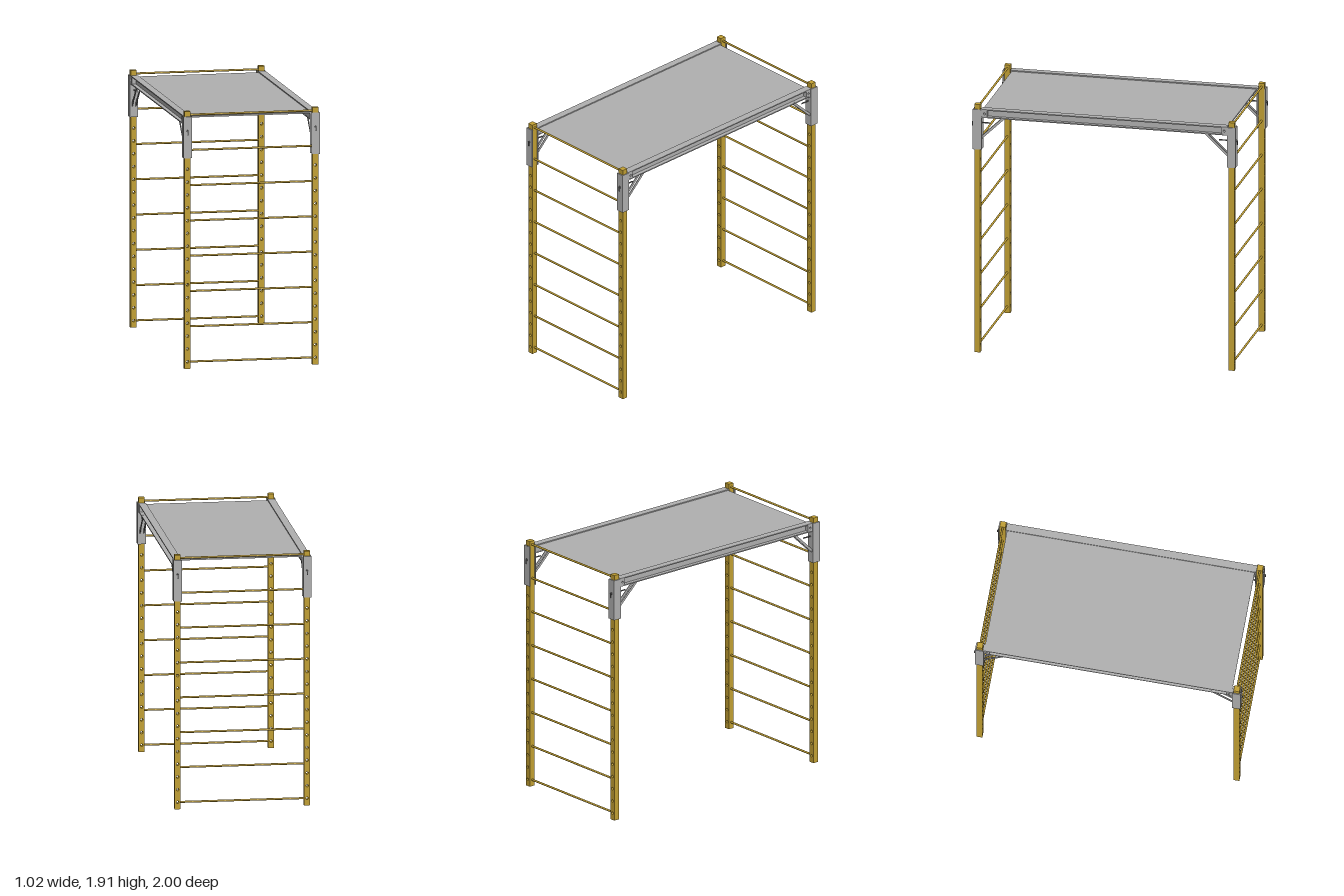
import * as THREE from 'three';

const yellow = new THREE.MeshStandardMaterial({ color: 0xc2a033 });
yellow.name = 'yellow paint';
const grey = new THREE.MeshStandardMaterial({ color: 0xb0b0b0 });
grey.name = 'grey steel';
const dark = new THREE.MeshStandardMaterial({ color: 0x6a6a6a });
dark.name = 'dark steel';

const POST_X = 0.479, POST_Z = 0.957, POST_W = 0.044, POST_H = 1.91;

function add(parent, name, geometry, material, x = 0, y = 0, z = 0) {
  const mesh = new THREE.Mesh(geometry, material);
  mesh.name = name;
  mesh.position.set(x, y, z);
  parent.add(mesh);
  return mesh;
}

// Box given by its limits on each axis
function box(parent, name, material, x0, x1, y0, y1, z0, z1) {
  return add(parent, name, new THREE.BoxGeometry(x1 - x0, y1 - y0, z1 - z0), material,
    (x0 + x1) / 2, (y0 + y1) / 2, (z0 + z1) / 2);
}

// Rectangle plate with round holes, extruded along z and centred in depth
function plate(w, y0, y1, depth, holes, radius) {
  const s = new THREE.Shape([
    new THREE.Vector2(-w / 2, y0), new THREE.Vector2(w / 2, y0),
    new THREE.Vector2(w / 2, y1), new THREE.Vector2(-w / 2, y1)]);
  for (const y of holes) {
    const h = new THREE.Path();
    h.absarc(0, y, radius, 0, Math.PI * 2, true);
    s.holes.push(h);
  }
  const g = new THREE.ExtrudeGeometry(s, { depth, bevelEnabled: false, curveSegments: 8 });
  return g.translate(0, 0, -depth / 2);
}

// One corner, built for +x and +z side with sx, sz giving the mirrored places
function corner(sx, sz) {
  const g = new THREE.Group();
  g.name = 'cornerPost';
  const span = (a, b, s) => (s > 0 ? [a, b] : [-b, -a]);
  const part = (name, mat, x0, x1, y0, y1, z0, z1) =>
    box(g, name, mat, ...span(x0, x1, sx), y0, y1, ...span(z0, z1, sz));

  // Drilled post
  const holes = [];
  for (let i = 0; i < 20; i++) holes.push(0.052 + i * 0.0953);
  add(g, 'post', plate(POST_W, 0, POST_H, POST_W, holes, 0.01), yellow, sx * POST_X, 0, sz * POST_Z);

  // Bracket channel around the post, open towards the rungs
  part('bracketSide', grey, 0.503, 0.51, 1.565, 1.873, 0.924, 0.989);
  part('bracketFront', grey, 0.449, 0.503, 1.565, 1.873, 0.981, 0.989);
  part('bracketBack', grey, 0.449, 0.503, 1.565, 1.873, 0.924, 0.932);

  // Locking pin with a hanging handle
  const pin = add(g, 'lockingPin', new THREE.CylinderGeometry(0.005, 0.005, 0.138, 10), dark,
    sx * POST_X, 1.766, sz * 0.927);
  pin.rotation.x = Math.PI / 2;
  part('pinHandle', dark, 0.475, 0.483, 1.737, 1.77, 0.994, 1.0);
  const head = add(g, 'pinHead', new THREE.CylinderGeometry(0.009, 0.009, 0.006, 12), dark,
    sx * POST_X, 1.766, sz * 0.992);
  head.rotation.x = Math.PI / 2;

  // Diagonal brace of two flat struts
  const dy = 0.16, dz = 0.168;
  for (const dx of [-0.014, 0.014]) {
    const strut = add(g, 'braceStrut', new THREE.BoxGeometry(0.006, 0.018, Math.hypot(dy, dz)), grey,
      sx * (POST_X + dx), 1.732, sz * 0.846);
    strut.rotation.x = sz * Math.atan2(dy, dz);
  }
  return g;
}

// Side rail: a channel open to the outside, closed by end plates
function rail(sx) {
  const g = new THREE.Group();
  g.name = 'sideRail';
  const L = 0.924;
  const part = (name, x0, x1, y0, y1, z0, z1) =>
    box(g, name, grey, ...(sx > 0 ? [x0, x1] : [-x1, -x0]), y0, y1, z0, z1);
  part('railWeb', 0.452, 0.475, 1.816, 1.867, -L, L);
  part('railTop', 0.45, 0.505, 1.867, 1.875, -L, L);
  part('railBottom', 0.45, 0.505, 1.81, 1.818, -L, L);
  for (const sz of [1, -1]) {
    const end = add(g, 'railEnd', plate(0.042, -0.025, 0.025, 0.03, [0], 0.008), grey,
      sx * 0.489, 1.842, sz * 0.903);
    end.rotation.y = Math.PI / 2;
  }
  return g;
}

export function createModel() {
  const model = new THREE.Group();
  model.name = 'climbingFrame';

  for (const sx of [1, -1]) {
    model.add(rail(sx));
    for (const sz of [1, -1]) model.add(corner(sx, sz));
  }

  // Ladder rungs at both ends
  const rungGeometry = new THREE.CylinderGeometry(0.0075, 0.0075, 2 * POST_X - POST_W + 0.004, 12)
    .rotateZ(Math.PI / 2);
  for (const sz of [1, -1])
    for (let i = 0; i < 8; i++)
      add(model, 'rung', rungGeometry, yellow, 0, 0.05 + i * 0.262, sz * POST_Z);

  // Deck between the rails
  box(model, 'deck', grey, -0.452, 0.452, 1.856, 1.867, -0.922, 0.922);
  return model;
}
